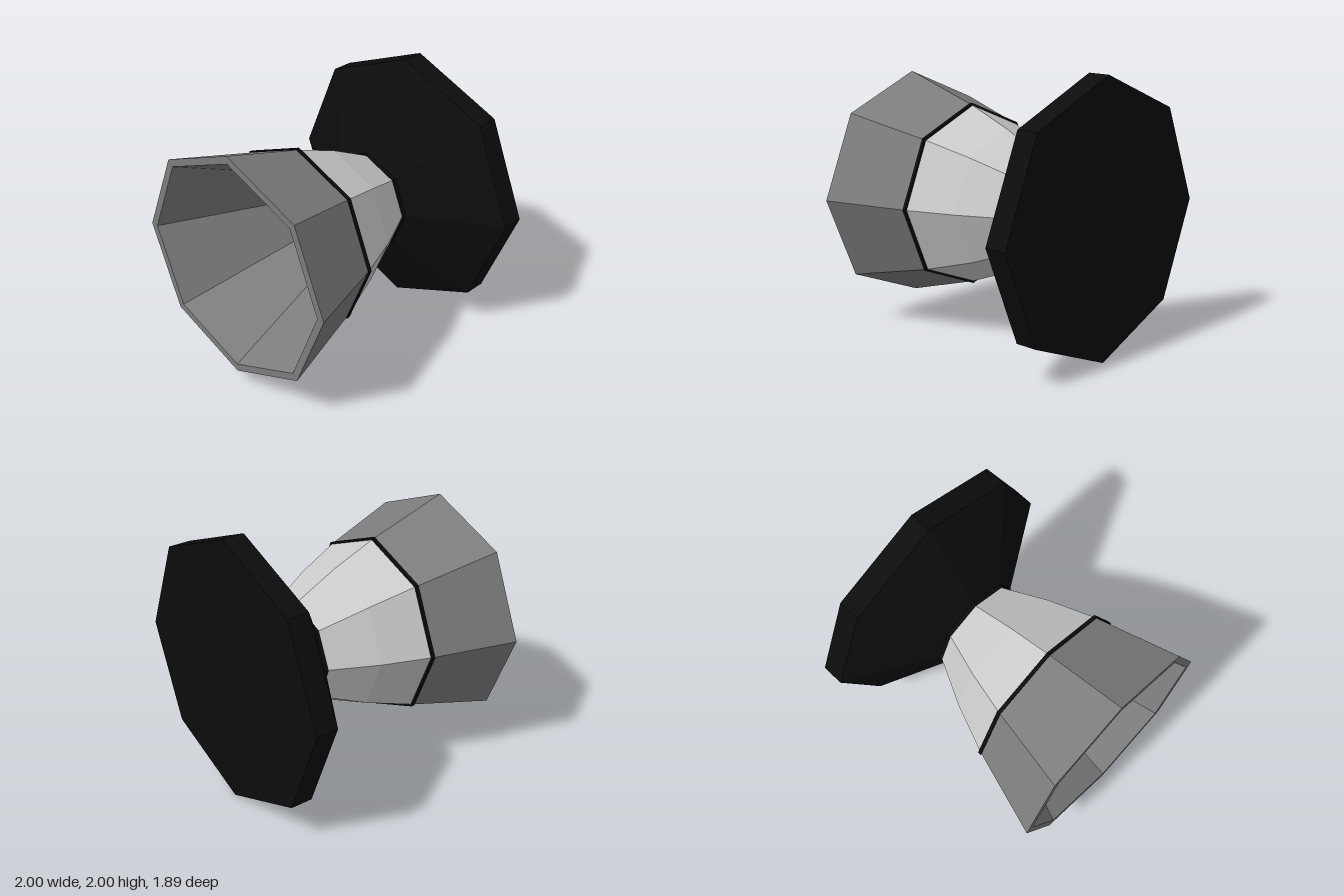
import * as THREE from 'three';

const SIDES = 8;

// Octagonal solid of revolution about the z axis; profile is [radius, z] from back to front.
function octagonal(name, profile, color) {
  const points = profile.map(([r, z]) => new THREE.Vector2(r, z));
  const geometry = new THREE.LatheGeometry(points, SIDES).rotateX(Math.PI / 2).toNonIndexed();
  geometry.computeVertexNormals();
  const material = new THREE.MeshStandardMaterial({ color, flatShading: true });
  const mesh = new THREE.Mesh(geometry, material);
  mesh.name = name;
  return mesh;
}

export function createModel() {
  const model = new THREE.Group();
  model.name = 'flaredHorn';
  const black = 0x0c0c0c, darkGrey = 0x7d7d7d, lightGrey = 0xcccccc;

  // Wide back plate tapering to a short collar
  const base = octagonal('backPlate', [
    [0, -0.945], [1, -0.945], [1, -0.78], [0.377, -0.403], [0.377, -0.377], [0.3, -0.377],
  ], black);

  // Curved neck between collar and ring
  const neck = octagonal('neck', [[0.366, -0.38], [0.536, -0.04], [0.675, 0.313]], lightGrey);

  // Thin band around the joint
  const ring = octagonal('ring', [
    [0.6, 0.3], [0.687, 0.3], [0.687, 0.326], [0.6, 0.326],
  ], black);

  // Flared bell with a flat rim
  const bell = octagonal('bell', [[0.675, 0.313], [0.868, 0.945], [0.81, 0.945]], darkGrey);

  // Deep funnel inside the bell, ending in a small flat floor
  const funnel = octagonal('funnel', [[0.81, 0.945], [0.155, -0.47], [0, -0.47]], darkGrey);

  model.add(base, neck, ring, bell, funnel);
  model.children.forEach((part) => { part.position.y = 1; });
  return model;
}
